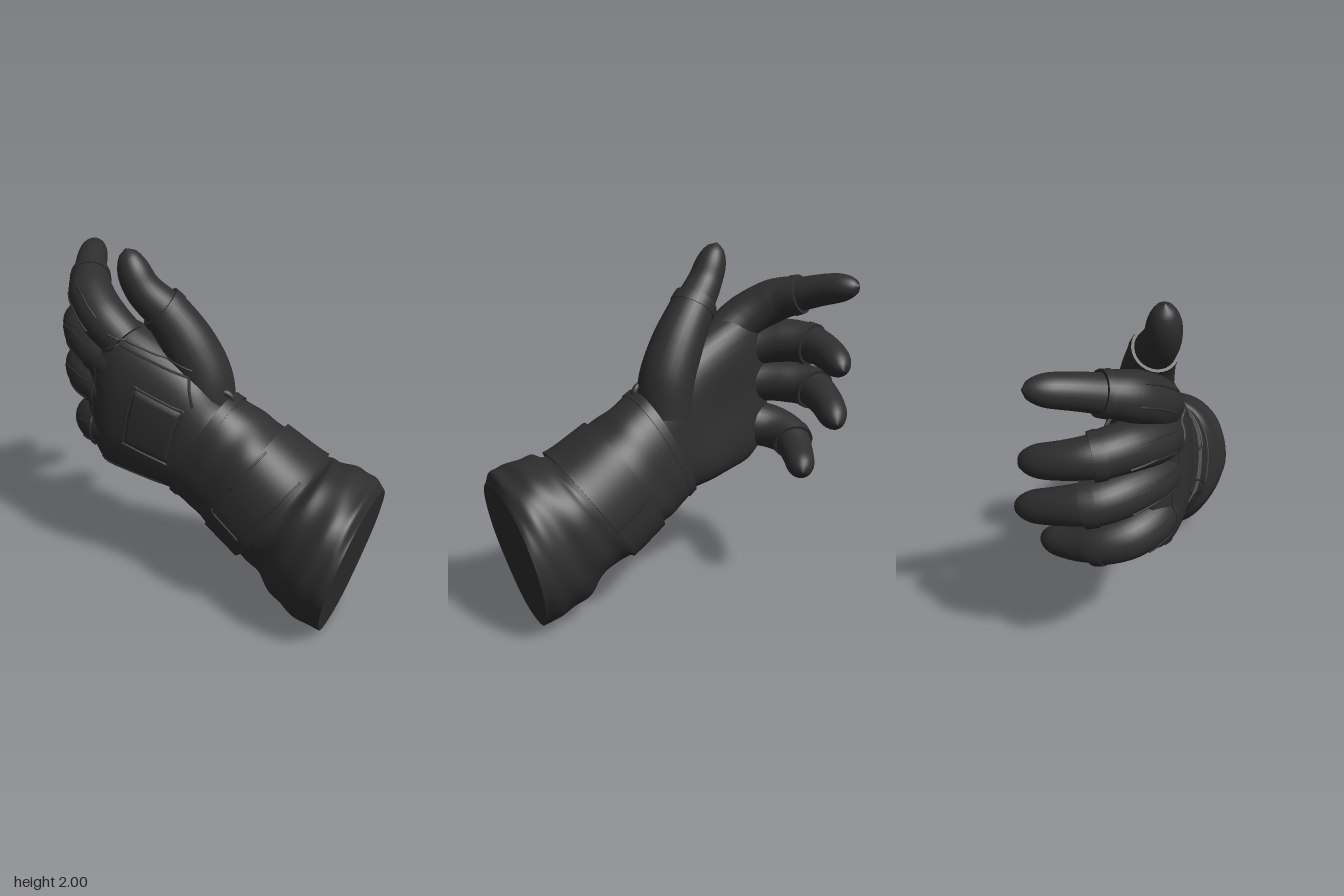
import * as THREE from 'three';

const V = (x, y, z) => new THREE.Vector3(x, y, z);
const pw = (a, e) => Math.sign(a) * Math.abs(a) ** e;

// Skin rings of {c, u, v} (centre and two half axes) into a capped solid
function skin(rings, e = 1, bump = () => 0, sides = 48) {
  const pos = [], idx = [], n = rings.length;
  rings.forEach(({ c, u, v }, i) => {
    for (let j = 0; j < sides; j++) {
      const a = (j / sides) * Math.PI * 2, s = 1 + bump(i / (n - 1), a);
      const p = c.clone().addScaledVector(u, s * pw(Math.cos(a), e)).addScaledVector(v, s * pw(Math.sin(a), e));
      pos.push(p.x, p.y, p.z);
    }
  });
  for (let i = 0; i < n - 1; i++) for (let j = 0; j < sides; j++) {
    const k = (j + 1) % sides, a = i * sides + j, b = i * sides + k;
    idx.push(a, b, b + sides, a, b + sides, a + sides);
  }
  // flat end caps with their own vertices
  for (const [i, flip] of [[0, true], [n - 1, false]]) {
    const start = pos.length / 3;
    pos.push(...pos.slice(i * sides * 3, (i + 1) * sides * 3), rings[i].c.x, rings[i].c.y, rings[i].c.z);
    for (let j = 0; j < sides; j++) {
      const a = start + j, b = start + (j + 1) % sides;
      idx.push(start + sides, flip ? b : a, flip ? a : b);
    }
  }
  return build(pos, idx);
}

function build(pos, idx) {
  const g = new THREE.BufferGeometry();
  g.setAttribute('position', new THREE.Float32BufferAttribute(pos, 3));
  g.setIndex(idx);
  g.computeVertexNormals();
  return g;
}

// Rings from sections [lowX, lowY, backZ, highX, highY, frontZ], smoothly interpolated
function sections(list, n, t0 = 0, t1 = 1) {
  const lo = new THREE.CatmullRomCurve3(list.map(s => V(s[0], s[1], s[2])), false, 'catmullrom');
  const hi = new THREE.CatmullRomCurve3(list.map(s => V(s[3], s[4], s[5])), false, 'catmullrom');
  return Array.from({ length: n + 1 }, (_, i) => {
    const t = t0 + (t1 - t0) * i / n, a = lo.getPoint(t), b = hi.getPoint(t), d = b.clone().sub(a).multiplyScalar(0.5);
    return { c: a.add(b).multiplyScalar(0.5), u: V(d.x, d.y, 0), v: V(0, 0, d.z) };
  });
}

// Rings along a path; the end is rounded unless cut short at t1
function digit(points, radii, t0, t1, grow, n = 40) {
  const curve = new THREE.CatmullRomCurve3(points.map(p => V(...p)));
  const f = curve.computeFrenetFrames(n);
  const rings = [];
  for (let i = 0; i <= n; i++) {
    const t = i / n;
    if (t < t0 - 1e-6 || t > t1 + 1e-6) continue;
    const k = t * (radii.length - 1), a = Math.min(Math.floor(k), radii.length - 2);
    let r = THREE.MathUtils.lerp(radii[a], radii[a + 1], k - a) + grow;
    if (t > 0.85) r *= Math.sqrt(Math.max(0.0004, 1 - ((t - 0.85) / 0.15) ** 2));
    rings.push({ c: curve.getPointAt(t), u: f.normals[i].clone().multiplyScalar(r), v: f.binormals[i].clone().multiplyScalar(r) });
  }
  return rings;
}

const PALM = [
  [-0.70, 0.88, 0.08, -0.66, 1.55, 0.17], [-0.64, 0.78, 0.02, -0.58, 1.62, 0.25],
  [-0.55, 0.71, -0.05, -0.42, 1.59, 0.325], [-0.42, 0.68, -0.10, -0.20, 1.49, 0.34],
  [-0.28, 0.65, -0.135, 0.02, 1.36, 0.33], [-0.12, 0.62, -0.135, 0.14, 1.20, 0.305],
  [0.00, 0.58, -0.13, 0.24, 1.12, 0.30]];
const CUFF = [
  [-0.16, 0.62, -0.15, 0.16, 1.23, 0.315], [-0.05, 0.55, -0.19, 0.29, 1.15, 0.325],
  [0.07, 0.47, -0.23, 0.44, 1.06, 0.35], [0.26, 0.34, -0.265, 0.66, 0.93, 0.38],
  [0.41, 0.27, -0.28, 0.75, 0.93, 0.42], [0.52, 0.13, -0.30, 0.88, 0.90, 0.48],
  [0.66, 0.045, -0.325, 0.96, 0.86, 0.50], [0.80, 0.0, -0.33, 0.985, 0.80, 0.50]];

// name, path, radii, where the thick sleeve ends
const DIGITS = [
  ['indexFinger', [[-0.42, 1.47, 0.17], [-0.57, 1.58, 0.145], [-0.70, 1.67, 0.06], [-0.78, 1.715, -0.06], [-0.86, 1.76, -0.2], [-0.95, 1.80, -0.39]], [0.115, 0.12, 0.115, 0.095, 0.085, 0.07], 0.6],
  ['middleFinger', [[-0.45, 1.34, 0.19], [-0.62, 1.40, 0.15], [-0.765, 1.435, 0.04], [-0.86, 1.43, -0.10], [-0.87, 1.405, -0.25], [-0.82, 1.36, -0.46]], [0.115, 0.115, 0.115, 0.105, 0.09, 0.075], 0.6],
  ['ringFinger', [[-0.45, 1.17, 0.19], [-0.62, 1.19, 0.15], [-0.765, 1.195, 0.04], [-0.86, 1.18, -0.10], [-0.85, 1.14, -0.27], [-0.77, 1.07, -0.50]], [0.115, 0.115, 0.115, 0.105, 0.09, 0.075], 0.6],
  ['littleFinger', [[-0.45, 0.96, 0.17], [-0.60, 0.935, 0.14], [-0.715, 0.91, 0.05], [-0.755, 0.88, -0.07], [-0.72, 0.835, -0.2], [-0.62, 0.79, -0.41]], [0.13, 0.125, 0.115, 0.1, 0.085, 0.075], 0.6],
  ['thumb', [[0.0, 1.10, 0.05], [-0.015, 1.30, 0.05], [-0.08, 1.47, 0.07], [-0.19, 1.65, 0.11], [-0.31, 1.80, 0.17], [-0.39, 2.0, 0.185]], [0.16, 0.15, 0.135, 0.115, 0.095, 0.08], 0.65]];

export function createModel() {
  const group = new THREE.Group();
  const fabric = new THREE.MeshStandardMaterial({ color: 0x2e2e2e });
  fabric.name = 'blackFabric';
  const add = (name, geometry) => {
    const m = new THREE.Mesh(geometry, fabric);
    m.name = name;
    m.updateMatrixWorld();
    group.add(m);
    return m;
  };

  // hand body, hollowed on the palm side towards the fingers
  const palm = add('palm', skin(sections(PALM, 36), 0.84,
    (t, a) => (Math.sin(a) < 0 ? -0.28 * Math.sin(a) ** 6 * Math.sin(Math.PI * t ** 0.6) : 0)));

  // fingers and thumb, each with a thicker sleeve and a hem band
  const solids = [palm];
  for (const [name, path, radii, end] of DIGITS) {
    solids.push(add(name, skin(digit(path, radii, 0, 1, 0), 1, undefined, 28)));
    solids.push(add(name + 'Sleeve', skin(digit(path, radii, 0, end, 0.01), 1, undefined, 28)));
    add(name + 'Hem', skin(digit(path, radii, end - 0.05, end, 0.016), 1, undefined, 28));
  }

  // gauntlet with soft diagonal folds, tapering underneath at the open end
  const folds = (t, a) => {
    const w = Math.sin(Math.PI * t) ** 0.7;
    const taper = -0.28 * t * t * Math.sin(a) ** 2 * Math.max(0, -Math.cos(a));
    return taper + w * (0.014 * Math.sin(22 * t + 3 * a) + 0.012 * Math.sin(37 * t - 2 * a + 1) + 0.008 * Math.sin(5 * a + 14 * t));
  };
  const cuff = add('gauntlet', skin(sections(CUFF, 90), 0.85, folds, 72));
  add('gauntletHem', skin(sections(CUFF, 4, 0.0, 0.05), 0.85, () => 0.025, 72));

  // strap around the wrist, with a thicker overlapping end on the upper half
  const strap = add('strap', skin(sections(CUFF, 14, 0.285, 0.435), 0.85, () => 0.035, 72));
  const flap = add('strapFlap', skin(sections(CUFF, 14, 0.28, 0.44), 0.85,
    (t, a) => (a < 2.05 || a > 4.6 ? 0.06 : 0.01), 96));
  solids.push(cuff, strap, flap);

  // drop a point onto the front surface
  const ray = new THREE.Raycaster();
  const drop = (x, y, lift) => {
    ray.set(V(x, y, 3), V(0, 0, -1));
    const hit = ray.intersectObjects(solids, false)[0];
    return hit ? V(x, y, hit.point.z + lift) : null;
  };

  // raised stitch line through front points
  const seam = (name, pts, closed = false, r = 0.006) => {
    const path = closed ? [...pts, pts[0]] : pts, out = [];
    for (let i = 0; i < path.length - 1; i++) {
      const [a, b] = [path[i], path[i + 1]];
      const n = Math.max(2, Math.ceil(Math.hypot(b[0] - a[0], b[1] - a[1]) / 0.03));
      for (let k = 0; k < n; k++) {
        const p = drop(a[0] + (b[0] - a[0]) * k / n, a[1] + (b[1] - a[1]) * k / n, 0.002);
        if (p) out.push(p);
      }
    }
    const last = drop(...path[path.length - 1], 0.002);
    if (last && !closed) out.push(last);
    if (out.length < 3) return;
    add(name, new THREE.TubeGeometry(new THREE.CatmullRomCurve3(out, closed), out.length * 2, r, 6, closed));
  };

  // square pad on the back of the hand
  const pad = [[-0.37, 0.95], [-0.10, 0.87], [-0.01, 1.20], [-0.29, 1.30]];
  const N = 18, pos = [], idx = [];
  for (let i = 0; i <= N; i++) for (let j = 0; j <= N; j++) {
    const s = j / N, t = i / N, edge = i === 0 || j === 0 || i === N || j === N;
    const mix = k => (pad[0][k] * (1 - s) + pad[1][k] * s) * (1 - t) + (pad[3][k] * (1 - s) + pad[2][k] * s) * t;
    const p = drop(mix(0), mix(1), edge ? -0.01 : 0.01);
    pos.push(p.x, p.y, p.z);
    if (i < N && j < N) {
      const a = i * (N + 1) + j, b = a + N + 1;
      idx.push(a, a + 1, b + 1, a, b + 1, b);
    }
  }
  add('backPad', build(pos, idx));
  seam('padSeam', pad, true, 0.008);

  // stitching on the back panel and strap
  seam('panelSeam', [[-0.62, 0.83], [-0.61, 1.05], [-0.54, 1.36], [-0.48, 1.46], [-0.40, 1.50], [-0.02, 1.36], [0.03, 1.22]], false, 0.008);
  seam('sideSeam', [[-0.58, 0.76], [-0.40, 0.73], [-0.18, 0.70]]);
  seam('thumbSeam', [[-0.46, 1.55], [-0.20, 1.46], [0.0, 1.40]]);
  seam('strapSeam', [[0.44, 1.04], [0.18, 0.69], [0.36, 0.56], [0.64, 0.92]]);

  // paired seams along each finger back
  for (const [name, path] of DIGITS.slice(0, 4)) for (const side of [-0.055, 0.055]) {
    const dx = path[2][0] - path[0][0], dy = path[2][1] - path[0][1], l = Math.hypot(dx, dy);
    seam(name + 'Seam', [1, 2, 3].map(i => [path[i][0] - dy / l * side, path[i][1] + dx / l * side]));
  }

  // pull loop at the thumb side of the wrist
  const loop = add('pullLoop', new THREE.TorusGeometry(0.045, 0.018, 8, 20));
  loop.position.set(0.13, 1.22, 0.1);
  loop.rotation.set(0, 0.3, -0.5);
  return group;
}
